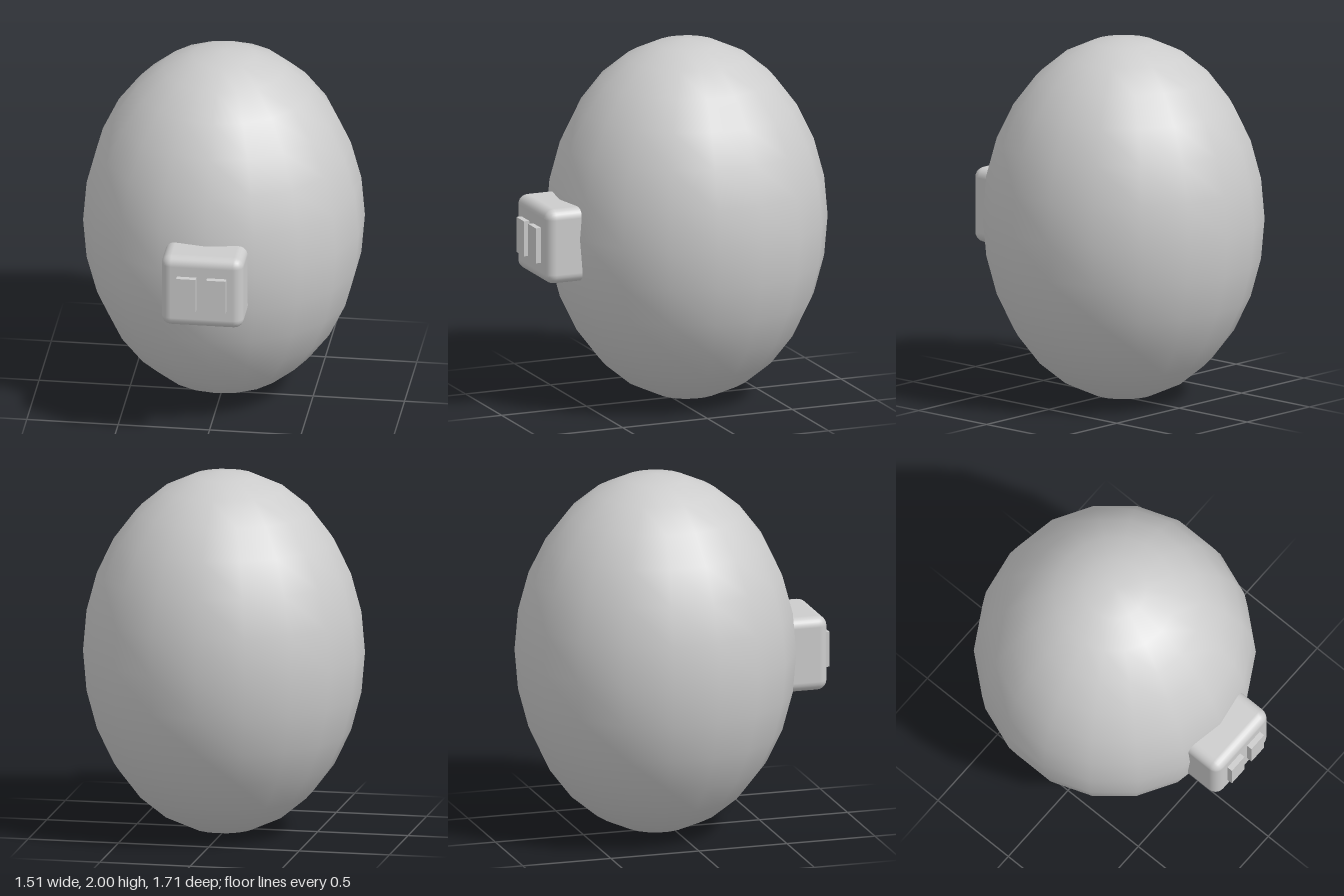
import * as THREE from 'three';
import { RoundedBoxGeometry } from 'three/addons/geometries/RoundedBoxGeometry.js';

export function createModel() {
  const model = new THREE.Group();
  model.name = 'model';
  const grey = new THREE.MeshStandardMaterial({ color: 0xcccccc });
  grey.name = 'light grey';

  const add = (name, geometry, x, y, z) => {
    const mesh = new THREE.Mesh(geometry, grey);
    mesh.name = name;
    mesh.position.set(x, y, z);
    model.add(mesh);
  };

  // Tall egg-shaped body, turned so that a column of vertices faces the front
  const body = new THREE.SphereGeometry(1, 18, 14);
  body.rotateY(Math.PI / 2);
  body.scale(0.765, 1, 0.765);
  add('body', body, 0, 1, -0.091);

  // Rounded snout sunk into the body
  add('snout', new RoundedBoxGeometry(0.45, 0.416, 0.34, 3, 0.055), 0, 0.967, 0.655);

  // Two raised nostril plates
  for (const side of [-1, 1]) {
    const name = side > 0 ? 'leftNostril' : 'rightNostril';
    add(name, new THREE.BoxGeometry(0.106, 0.196, 0.06), side * 0.082, 0.967, 0.826);
  }
  return model;
}
